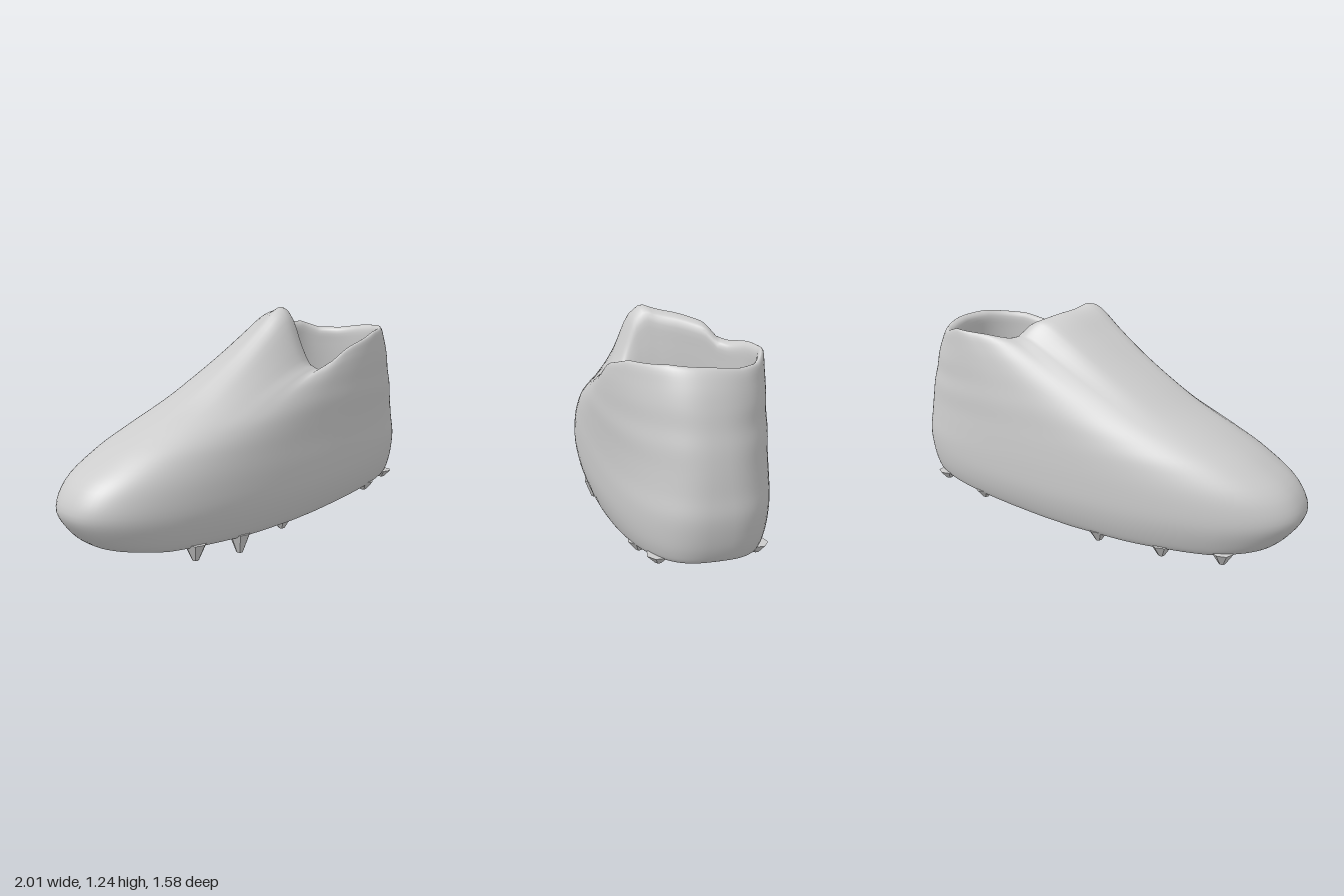
import * as THREE from 'three';

const SEG = 96, STEPS = 90;
const lerp = THREE.MathUtils.lerp;

// Piecewise linear lookup in [key, value] pairs
function lookup(table, x) {
  for (let i = 1; i < table.length; i++) {
    const [x0, y0] = table[i - 1], [x1, y1] = table[i];
    if (x <= x1) return lerp(y0, y1, Math.max(0, (x - x0) / (x1 - x0)));
  }
  return table[table.length - 1][1];
}

// Underside height along the boot (heel at -z, toe at +z)
const soleY = (z) => lookup([[-1.1, 0.215], [-0.1, 0.1], [0.3, 0.085], [0.75, 0.09], [1.1, 0.13]], z);

// Collar height around the opening, degrees from the toe towards +x
const rimY = (deg) => lookup([
  [-180, 1.1], [-155, 1.08], [-130, 1.08], [-105, 1.12], [-75, 1.11], [-50, 1.09], [-38, 1.1],
  [-25, 1.17], [0, 1.215], [13, 1.245], [24, 1.19], [36, 1.05], [47, 0.94], [60, 0.9],
  [75, 0.95], [90, 1.03], [115, 1.09], [150, 1.11], [180, 1.1],
], deg);

// Rings: level (0 sole, 1 mid height, 2 collar), heel z, toe z, half width,
// roundness of heel end and toe end, skew
const OUTER = [
  [0, 0, 0, 0, 2.6, 2.6, 0],
  [0, -0.6, 0.6, 0.2, 2.8, 2.6, 0],
  [0, -1.06, 1.0, 0.325, 3, 2.7, 0],
  [0.02, -1.09, 1.03, 0.35, 3, 2.7, 0],
  [0.16, -1.115, 1.1, 0.38, 2.9, 2.6, 0],
  [0.4, -1.135, 1.155, 0.405, 2.8, 2.55, 0],
  [0.7, -1.145, 1.1, 0.41, 2.75, 2.55, 0],
  [1, -1.135, 0.93, 0.405, 2.6, 2.5, 0.05],
  [1.16, -1.125, 0.73, 0.4, 2.45, 2.4, 0.1],
  [1.33, -1.11, 0.5, 0.395, 2.35, 2.3, 0.15],
  [1.48, -1.09, 0.33, 0.385, 2.25, 2.3, 0.2],
  [1.65, -1.07, 0.15, 0.375, 2.2, 2.35, 0.28],
  [1.83, -1.04, -0.02, 0.362, 2.1, 2.45, 0.38],
  [1.98, -1.0, -0.16, 0.345, 2.1, 2.6, 0.5],
];
const INNER = [
  [2, -0.98, -0.22, 0.33, 2.1, 2.7, 0.55],
  [1.95, -0.95, -0.28, 0.31, 2.1, 2.7, 0.58],
  [1.75, -0.95, -0.3, 0.305, 2.2, 2.6, 0.5],
  [1.3, -0.98, -0.32, 0.31, 2.3, 2.4, 0.3],
  [0.85, -1, -0.36, 0.3, 2.3, 2.3, 0.1],
  [0.72, -0.95, -0.42, 0.25, 2.3, 2.3, 0],
  [0.7, -0.67, -0.67, 0, 2.3, 2.3, 0],
];

function ringPoint([level, heel, toe, width, heelN, toeN, skew], angle) {
  const c = Math.cos(angle), s = Math.sin(angle), n = c < 0 ? heelN : toeN;
  const round = (v) => Math.sign(v) * Math.abs(v) ** (2 / n);
  const upper = Math.max(0, level - 1);
  const side = width * round(s);
  const z = (heel + toe) / 2 + (toe - heel) / 2 * round(c) + skew * side * (1 + c) / 2;
  const rim = rimY(THREE.MathUtils.radToDeg(angle));
  // The flank stays full below the low part of the collar
  const fullness = upper * (1 - upper) * Math.max(0, 1.2 - rim);
  const y = level < 1
    ? lerp(soleY(z), 0.55, level)
    : lerp(0.55, rim, upper) + fullness;
  return new THREE.Vector3(side + 0.02 * upper, y, z);
}

// Smooth skin through the rings, one curve per angle
function skin(rings) {
  const pos = [], index = [], rows = STEPS + 1;
  for (let i = 0; i < SEG; i++) {
    const angle = -Math.PI + (i / SEG) * Math.PI * 2;
    const curve = new THREE.CatmullRomCurve3(rings.map((r) => ringPoint(r, angle)));
    for (let j = 0; j <= STEPS; j++) pos.push(...curve.getPoint(j / STEPS).toArray());
    const a = i * rows, b = ((i + 1) % SEG) * rows;
    for (let j = 0; j < STEPS; j++) {
      index.push(a + j, b + j, b + j + 1, a + j, b + j + 1, a + j + 1);
    }
  }
  const geo = new THREE.BufferGeometry();
  geo.setAttribute('position', new THREE.Float32BufferAttribute(pos, 3));
  geo.setIndex(index);
  geo.computeVertexNormals();
  return geo;
}

export function createModel() {
  const model = new THREE.Group();
  model.name = 'studdedBoot';
  const boot = new THREE.Group();
  boot.name = 'boot';
  boot.rotation.y = -0.961; // toe points to the front right
  model.add(boot);

  // Upper, sole, collar and lining as one continuous skin
  const shell = new THREE.Mesh(skin([...OUTER, ...INNER]),
    new THREE.MeshStandardMaterial({ color: 0xcccccc, side: THREE.DoubleSide }));
  shell.name = 'upperAndLining';
  boot.add(shell);

  // Studs around the sole edge: x, z, tip height
  const studs = new THREE.Group();
  studs.name = 'studs';
  const studMaterial = new THREE.MeshStandardMaterial({ color: 0xcccccc, flatShading: true });
  const places = [
    [0.29, 0.6, 0.02], [0.31, 0.32, 0], [0.28, -0.02, 0.05],
    [-0.25, 0.81, 0.05], [-0.3, 0.49, 0.04], [-0.31, 0.12, 0.045],
    [-0.29, -0.64, 0.13], [-0.24, -0.94, 0.17], [0.24, -0.94, 0.175], [0.28, -0.72, 0.14],
  ];
  for (const [x, z, tip] of places) {
    const top = soleY(z) + 0.02, height = top - tip;
    const stud = new THREE.Mesh(new THREE.CylinderGeometry(0.06, 0.018, height, 7), studMaterial);
    stud.name = 'stud';
    stud.position.set(x, tip + height / 2, z);
    studs.add(stud);
  }
  boot.add(studs);
  return model;
}
